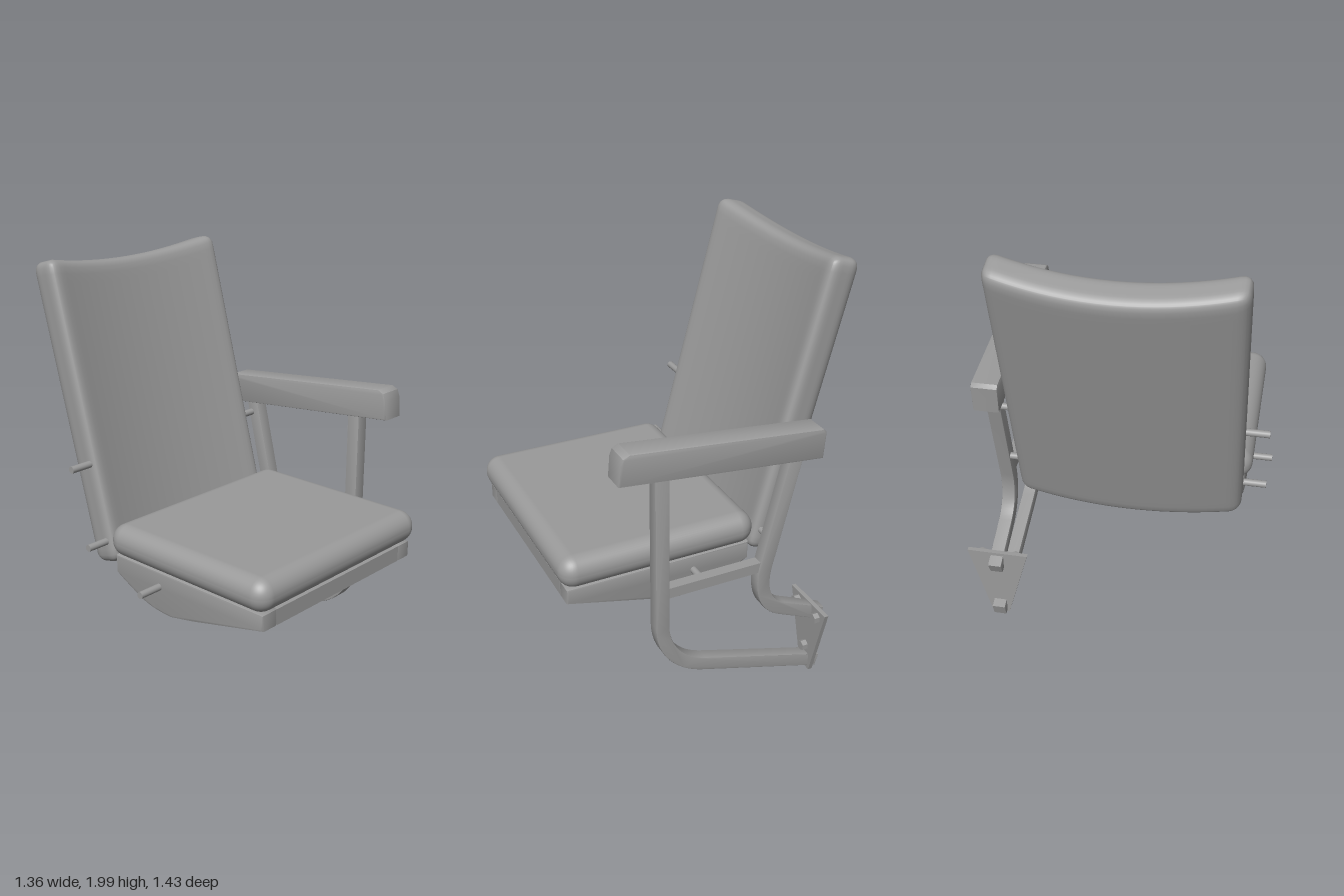
import * as THREE from 'three';
import { mergeVertices, toCreasedNormals } from 'three/addons/utils/BufferGeometryUtils.js';
import { RoundedBoxGeometry } from 'three/addons/geometries/RoundedBoxGeometry.js';

const CENTER = -0.0625; // middle of seat and backrest
const POST_X = 0.535;   // middle of the arm frame

// Rounded panel, bowed backwards in the middle, with a dipping top edge
function backrestGeometry(width, height, depth, radius) {
  let g = new THREE.BoxGeometry(2, 2, 2, 28, 28, 10);
  g.deleteAttribute('normal');
  g.deleteAttribute('uv');
  g = mergeVertices(g);
  const half = new THREE.Vector3(width / 2, height / 2, depth / 2);
  const inner = half.clone().subScalar(radius);
  const innerMin = inner.clone().negate();
  const pos = g.attributes.position;
  const p = new THREE.Vector3(), core = new THREE.Vector3();
  for (let i = 0; i < pos.count; i++) {
    // crowd the vertices towards the edges, then round the edges
    p.fromBufferAttribute(pos, i);
    p.set(Math.sin(p.x * Math.PI / 2), Math.sin(p.y * Math.PI / 2), p.z).multiply(half);
    core.copy(p).clamp(innerMin, inner);
    p.sub(core).setLength(radius).add(core);
    const middle = 1 - (p.x / half.x) ** 2;
    if (p.y > 0) p.y -= 0.04 * middle * p.y / half.y;
    p.z -= 0.06 * middle;
    pos.setXYZ(i, p.x, p.y + half.y, p.z - half.z);
  }
  g.computeVertexNormals();
  return g;
}

export function createModel() {
  const model = new THREE.Group();
  const grey = new THREE.MeshStandardMaterial({ color: 0x9a9a9a });

  function add(name, geometry, x = 0, y = 0, z = 0) {
    const mesh = new THREE.Mesh(geometry, grey);
    mesh.name = name;
    mesh.position.set(x, y, z);
    model.add(mesh);
    return mesh;
  }

  // Extrude an outline by a given depth, with an inward bevel
  function extrude(points, depth, bevel = 0) {
    const shape = new THREE.Shape(points.map(([a, b]) => new THREE.Vector2(a, b)));
    return new THREE.ExtrudeGeometry(shape, {
      depth: depth - 2 * bevel, bevelEnabled: bevel > 0, bevelSize: bevel,
      bevelThickness: bevel, bevelOffset: -bevel, bevelSegments: 2,
    }).translate(0, 0, bevel);
  }

  // Side profile in (z, y), extruded across x and centred on x = 0
  function sideProfile(points, width, bevel = 0) {
    const g = extrude(points, width, bevel).translate(0, 0, -width / 2).rotateY(-Math.PI / 2);
    return toCreasedNormals(g, 0.6);
  }

  // Flat-sided bar following a (z, y) path
  function bentBar(path, thickness, width) {
    const pts = path.getPoints(12);
    const left = [], right = [];
    pts.forEach((p, i) => {
      const t = pts[Math.min(i + 1, pts.length - 1)].clone().sub(pts[Math.max(i - 1, 0)]).normalize();
      if (i === 1) t.copy(pts[1]).sub(pts[0]).normalize();
      const nx = -t.y * thickness / 2, ny = t.x * thickness / 2;
      left.push([p.x + nx, p.y + ny]);
      right.unshift([p.x - nx, p.y - ny]);
    });
    return sideProfile([...left, ...right], width, 0.004);
  }

  // Seat cushion
  add('seatCushion', new RoundedBoxGeometry(1.075, 0.15, 0.92, 5, 0.072), CENTER, 0.81, 0.255);

  // Seat pan with a slightly recessed belly between two side rails
  const panProfile = (lift) => {
    const belly = new THREE.SplineCurve([[0.165, 0.543], [0.08, 0.548], [0, 0.565], [-0.09, 0.605], [-0.18, 0.652]]
      .map(([z, y]) => new THREE.Vector2(z, y))).getPoints(12).map((p) => [p.x, p.y + lift]);
    return [[-0.18, 0.737], [0.69, 0.737], [0.69, 0.665], [0.3, 0.57 + lift], ...belly];
  };
  add('seatPan', sideProfile(panProfile(0.016), 0.84), CENTER);
  for (const s of [-1, 1]) add('seatPanRail', sideProfile(panProfile(0), 0.09, 0.01), CENTER + s * 0.462);

  // Backrest, leaning back
  const backrest = add('backrest', backrestGeometry(1.015, 1.37, 0.155, 0.05), CENTER, 0.69, -0.172);
  backrest.rotation.x = -Math.PI / 12;

  // Armrest
  add('armrest', sideProfile([[0.505, 1.263], [0.497, 1.355], [0.485, 1.386], [0.456, 1.4],
    [-0.44, 1.31], [-0.456, 1.295], [-0.446, 1.17]], 0.118, 0.008), POST_X);

  // Bent posts of the arm frame
  const frontPath = new THREE.Path().moveTo(0.303, 1.26).lineTo(0.303, 0.5)
    .bezierCurveTo(0.303, 0.37, 0.22, 0.27, 0.1, 0.232).lineTo(-0.513, 0.04);
  add('frontPost', bentBar(frontPath, 0.064, 0.062), POST_X);
  const rearPath = new THREE.Path().moveTo(-0.34, 1.22).lineTo(-0.203, 0.66)
    .bezierCurveTo(-0.178, 0.54, -0.21, 0.45, -0.3, 0.41).lineTo(-0.517, 0.314);
  add('rearPost', bentBar(rearPath, 0.064, 0.062), POST_X);

  // Cross bar between the posts
  add('crossBar', new THREE.BoxGeometry(0.05, 0.05, 0.48), POST_X, 0.667, 0.05);

  // Mounting plate and its hexagonal bolts
  add('mountingPlate', extrude([[0.495, 0.005], [0.575, 0.005], [0.675, 0.38], [0.39, 0.38]], 0.02), 0, 0, -0.482);
  for (const [x, y] of [[0.455, 0.34], [0.615, 0.34], [POST_X, 0.13]]) {
    add('bolt', new THREE.CylinderGeometry(0.025, 0.025, 0.03, 6).rotateX(Math.PI / 2), x, y, -0.45)
      .geometry = toCreasedNormals(new THREE.CylinderGeometry(0.025, 0.025, 0.03, 6).rotateX(Math.PI / 2), 0.6);
  }

  // Pivot pins sticking out on both sides
  for (const [y, z, outer] of [[1.125, -0.335, -0.672], [0.78, -0.245, -0.672], [0.668, 0.095, -0.682]]) {
    for (const [a, b] of [[outer, -0.48], [0.36, 0.515]]) {
      add('pivotPin', new THREE.CylinderGeometry(0.016, 0.016, b - a, 16).rotateZ(Math.PI / 2), (a + b) / 2, y, z);
    }
  }
  return model;
}
